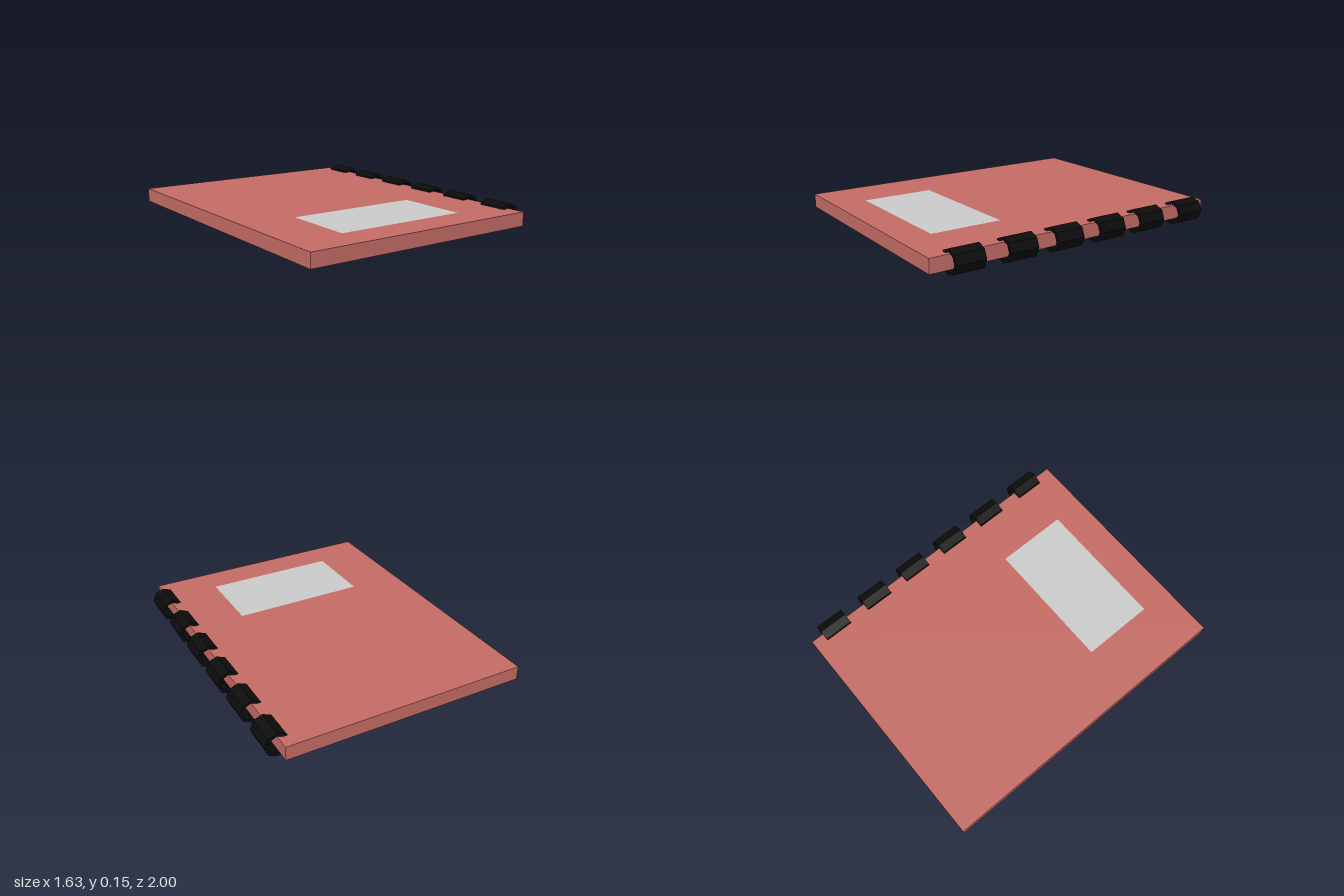
import * as THREE from 'three';

const mat = (color) => new THREE.MeshStandardMaterial({ color, flatShading: true });

// Points of a regular octagon with corners on the axes
const octagon = (r) => Array.from({ length: 8 }, (_, i) => {
  const a = (i * Math.PI) / 4;
  return new THREE.Vector2(r * Math.cos(a), r * Math.sin(a));
});

export function createModel() {
  const model = new THREE.Group();
  model.name = 'notebook';

  const add = (name, geometry, material, x, y, z) => {
    const mesh = new THREE.Mesh(geometry, material);
    mesh.name = name;
    mesh.position.set(x, y, z);
    model.add(mesh);
    return mesh;
  };

  // Closed book block
  add('cover', new THREE.BoxGeometry(1.547, 0.088, 2), mat(0xc56c65), -0.041, 0.075, 0);

  // Thin label lying on the cover
  const label = add('label', new THREE.PlaneGeometry(0.857, 0.463), mat(0xcccccc), -0.042, 0.1205, 0.562);
  label.rotation.x = -Math.PI / 2;

  // Hollow octagonal binding rings along the spine
  const ringLength = 0.187;
  const ringShape = new THREE.Shape(octagon(0.076));
  ringShape.holes.push(new THREE.Path(octagon(0.056).reverse()));
  const ringGeometry = new THREE.ExtrudeGeometry(ringShape, { depth: ringLength, bevelEnabled: false });
  ringGeometry.translate(0, 0, -ringLength / 2);
  const ringMaterial = mat(0x0c0c0c);
  [-0.822, -0.495, -0.18, 0.135, 0.455, 0.793].forEach((z, i) => {
    add(`bindingRing${i + 1}`, ringGeometry, ringMaterial, 0.737, 0.076, z);
  });

  return model;
}
